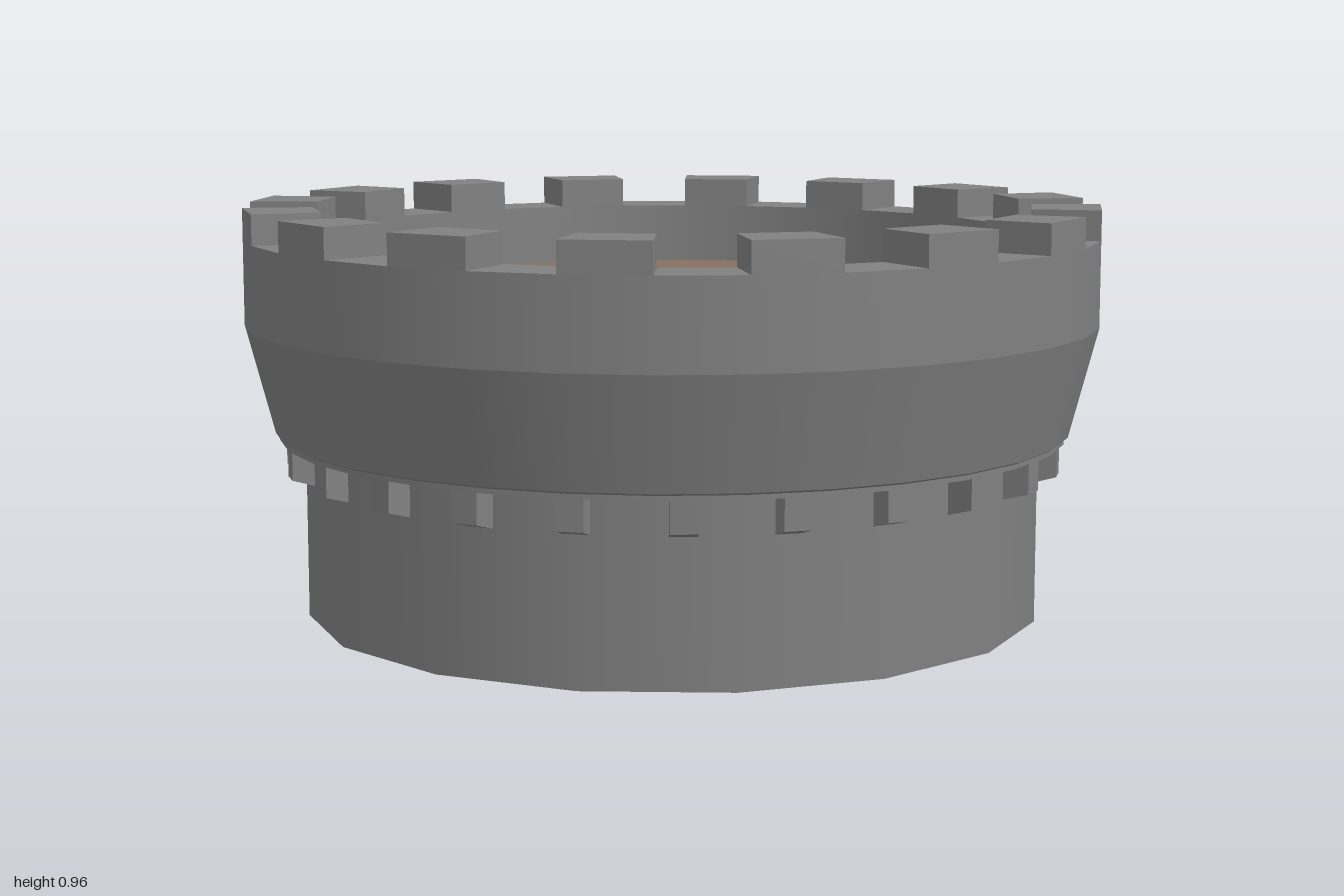
import * as THREE from 'three';

const SIDES = 32;
const stone = new THREE.MeshStandardMaterial({ color: 0x808080, side: THREE.DoubleSide });
stone.name = 'stone grey';
const wood = new THREE.MeshStandardMaterial({ color: 0x876f60, side: THREE.DoubleSide });
wood.name = 'floor brown';

function addMesh(parent, name, geometry, material = stone) {
  const mesh = new THREE.Mesh(geometry, material);
  mesh.name = name;
  parent.add(mesh);
  return mesh;
}

// One ring surface between two profile points, smooth around and sharp at its rims
function band(from, to, sides = SIDES) {
  return new THREE.LatheGeometry([new THREE.Vector2(...from), new THREE.Vector2(...to)], sides);
}

export function createModel() {
  const tower = new THREE.Group();
  tower.name = 'towerTop';

  // Open sixteen-sided shaft
  addMesh(tower, 'shaft', band([0.865, 0], [0.865, 0.42], 16));

  // Flared parapet: underside, lip, flare, outer wall, wall top, inner wall
  const parapet = new THREE.Group();
  parapet.name = 'parapet';
  tower.add(parapet);
  const profile = [
    ['underside', 0.84, 0.42], ['lip', 0.925, 0.42], ['lipChamfer', 0.925, 0.431],
    ['flare', 0.934, 0.436], ['outerWall', 1, 0.69], ['wallTop', 1, 0.89],
    ['innerWall', 0.84, 0.89], ['end', 0.84, 0.42],
  ];
  for (let i = 0; i < profile.length - 1; i++) {
    const [name, r, y] = profile[i];
    addMesh(parapet, name, band([r, y], profile[i + 1].slice(1)));
  }

  // Floor disc inside the parapet
  const floor = new THREE.CircleGeometry(0.84, SIDES).rotateX(-Math.PI / 2);
  addMesh(tower, 'floor', floor, wood).position.y = 0.745;

  // Battlements fill every second segment of the ring
  const step = (2 * Math.PI) / SIDES;
  const plan = [[0.84, 0], [1, 0], [1, step], [0.84, step]].map(
    ([r, a]) => new THREE.Vector2(r * Math.sin(a), -r * Math.cos(a)));
  const merlon = new THREE.ExtrudeGeometry(new THREE.Shape(plan), { depth: 0.07, bevelEnabled: false });
  merlon.rotateX(-Math.PI / 2).translate(0, 0.89, 0);
  for (let i = 0; i < SIDES; i += 2) {
    addMesh(tower, 'merlon', merlon).rotation.y = i * step;
  }

  // Corbels under the lip, with sloping undersides
  const side = [[0.83, 0.325], [0.912, 0.348], [0.912, 0.42], [0.83, 0.42]].map(
    ([r, y]) => new THREE.Vector2(r, y));
  const corbel = new THREE.ExtrudeGeometry(new THREE.Shape(side), { depth: 0.06, bevelEnabled: false });
  corbel.translate(0, 0, -0.03);
  for (let i = 0; i < 24; i++) {
    addMesh(tower, 'corbel', corbel).rotation.y = (i * Math.PI) / 12;
  }

  return tower;
}
